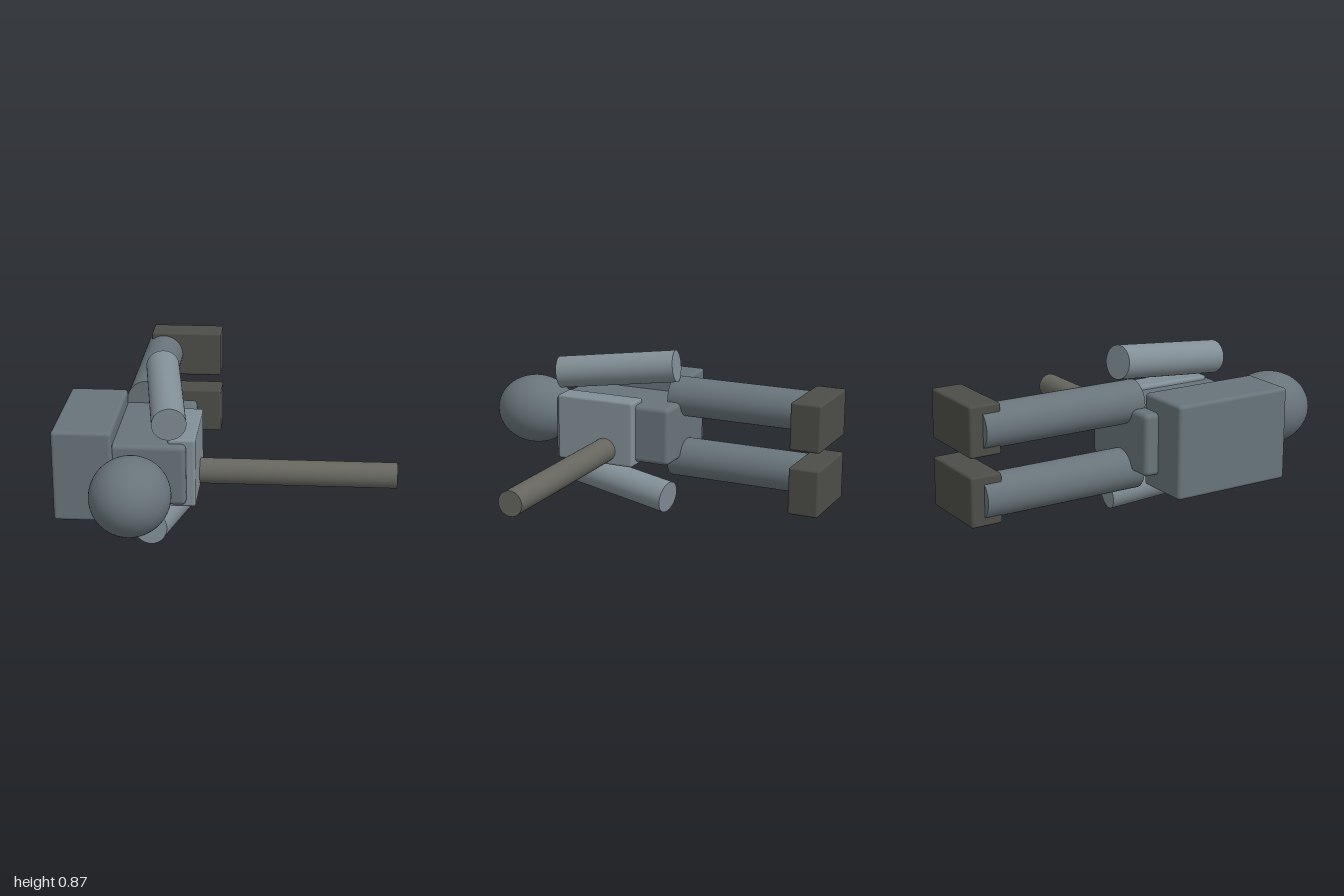
import * as THREE from 'three';
import { RoundedBoxGeometry } from 'three/addons/geometries/RoundedBoxGeometry.js';

const mat = (color) => new THREE.MeshStandardMaterial({ color });

export function createModel() {
  const model = new THREE.Group();
  const body = mat(0x68747a);
  const light = mat(0x828f96);
  const dark = mat(0x4c4c48);
  const barrelGrey = mat(0x66665f);

  const add = (name, geometry, material) => {
    const mesh = new THREE.Mesh(geometry, material);
    mesh.name = name;
    model.add(mesh);
    return mesh;
  };

  // Rounded box given by its low and high corners
  const box = (name, lo, hi, radius, material) => {
    const size = hi.map((v, i) => v - lo[i]);
    const mesh = add(name, new RoundedBoxGeometry(...size, 3, radius), material);
    mesh.position.set(...lo.map((v, i) => (v + hi[i]) / 2));
  };

  // Capped cylinder between two points
  const rod = (name, from, to, radius, material) => {
    const a = new THREE.Vector3(...from);
    const b = new THREE.Vector3(...to);
    const dir = b.clone().sub(a);
    const mesh = add(name, new THREE.CylinderGeometry(radius, radius, dir.length(), 40), material);
    mesh.position.copy(a).add(b).multiplyScalar(0.5);
    mesh.quaternion.setFromUnitVectors(new THREE.Vector3(0, 1, 0), dir.normalize());
  };

  // Head
  const head = add('head', new THREE.SphereGeometry(1, 48, 32), body);
  head.scale.set(0.196, 0.189, 0.223);
  head.position.set(-0.434, 0.442, 0.776);

  // Trunk, pack and chest plate
  box('torso', [-0.67, 0.286, -0.143], [-0.195, 0.598, 0.528], 0.025, body);
  box('backpack', [-0.845, 0.208, -0.07], [-0.55, 0.674, 0.567], 0.018, body);
  box('chestBox', [-0.285, 0.265, 0.047], [-0.15, 0.62, 0.49], 0.014, light);

  // Long barrel out of the chest
  rod('barrel', [-0.2, 0.345, 0.21], [0.842, 0.345, 0.21], 0.065, barrelGrey);

  // Arms, tilted in opposite directions
  rod('upperSideArm', [-0.272, 0.713, 0.532], [-0.372, 0.791, -0.11], 0.085, light);
  rod('lowerSideArm', [-0.372, 0.17, 0.532], [-0.272, 0.091, -0.11], 0.085, light);

  // Legs and feet
  for (const side of [-1, 1]) {
    const y = 0.442 + side * 0.169;
    rod('leg', [-0.45, y, -0.07], [-0.45, y, -0.932], 0.106, body);
    box('foot', [-0.518, y - 0.124, -1], [-0.128, y + 0.124, -0.838], 0.012, dark);
  }

  return model;
}
